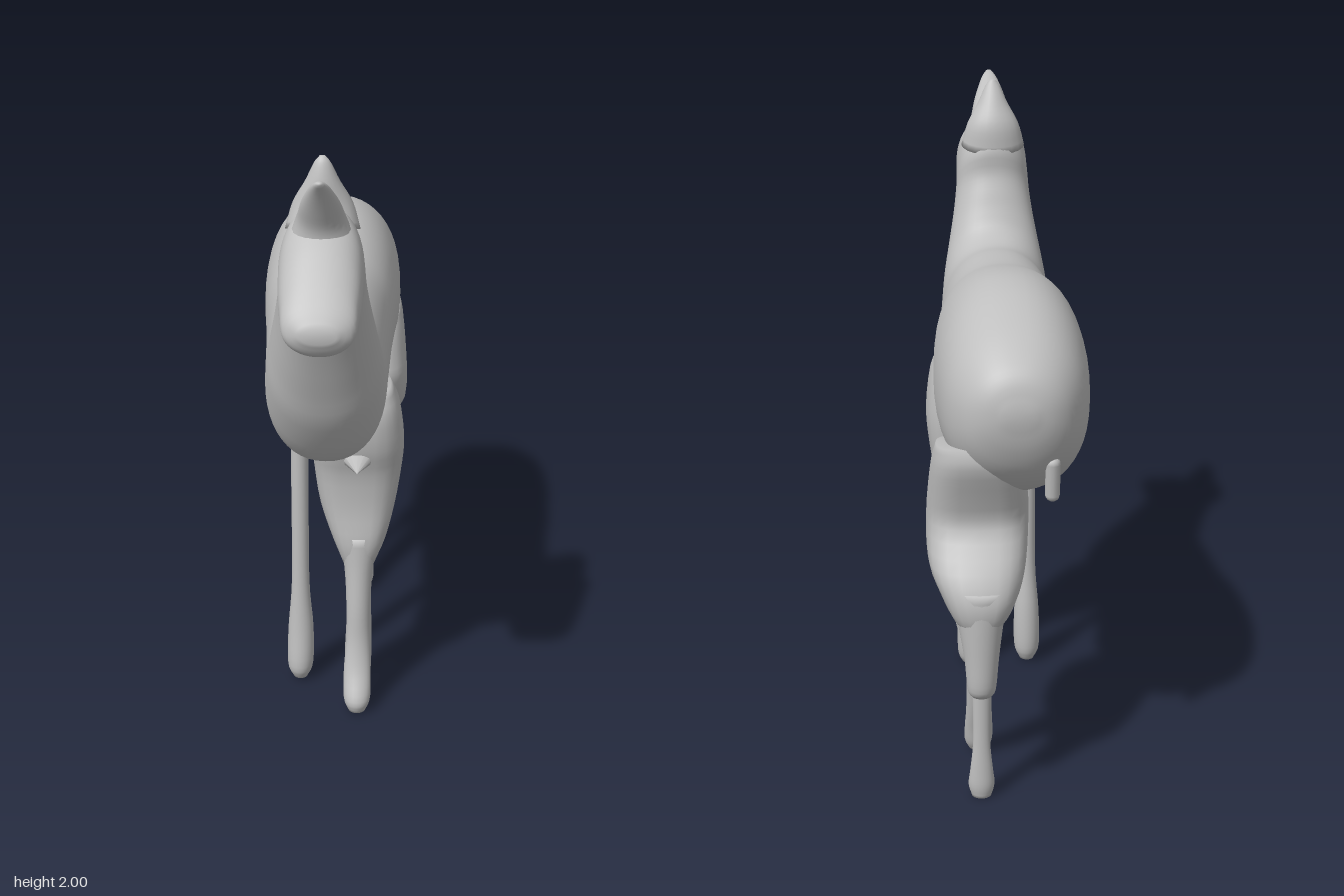
import * as THREE from 'three';

const coat = new THREE.MeshStandardMaterial({ color: 0xbfbfbf });
coat.name = 'grey coat';

// Smooth skin through sections [az, ay, bz, by, xCentre, halfWidth]:
// a and b are the two ends of each section in the side plane.
function loft(name, rows, power = 2, steps = 4, sides = 32) {
  const ends = (f) => new THREE.CatmullRomCurve3(rows.map(f), false, 'catmullrom', 0.5);
  const A = ends((r) => new THREE.Vector3(r[4], r[1], r[0]));
  const B = ends((r) => new THREE.Vector3(r[5], r[3], r[2]));
  const n = (rows.length - 1) * steps;
  const pos = [], idx = [];
  const round = (v) => Math.sign(v) * Math.abs(v) ** (2 / power);
  const mids = [];
  for (let i = 0; i <= n; i++) {
    const a = A.getPoint(i / n), b = B.getPoint(i / n);
    const my = (a.y + b.y) / 2, mz = (a.z + b.z) / 2;
    mids.push([a.x, my, mz]);
    for (let j = 0; j < sides; j++) {
      const t = (j / sides) * Math.PI * 2;
      const c = round(Math.cos(t)), s = round(Math.sin(t));
      pos.push(a.x + s * b.x, my + (c * (a.y - b.y)) / 2, mz + (c * (a.z - b.z)) / 2);
      const k = (j + 1) % sides, p = i * sides, q = p + sides;
      if (i < n) idx.push(p + j, q + j, p + k, q + j, q + k, p + k);
    }
  }
  // end caps
  const c0 = pos.length / 3;
  pos.push(...mids[0], ...mids[n]);
  for (let j = 0; j < sides; j++) {
    const k = (j + 1) % sides;
    idx.push(c0, j, k, c0 + 1, n * sides + k, n * sides + j);
  }
  const g = new THREE.BufferGeometry();
  g.setAttribute('position', new THREE.Float32BufferAttribute(pos, 3));
  g.setIndex(idx);
  g.computeVertexNormals();
  const mesh = new THREE.Mesh(g, coat);
  mesh.name = name;
  return mesh;
}

// Leg rows from top to bottom: [y, zFront, zBack, xCentre, halfWidth]
const leg = (name, rows, power, steps) =>
  loft(name, rows.map(([y, f, b, x, w]) => [f, y, b, y, x, w]), power, steps, 24);

// Small pointed tuft lying along z
function spur(name, x, y, z, length, dir) {
  const g = new THREE.ConeGeometry(0.05, length, 12);
  g.rotateX((dir * Math.PI) / 2);
  g.scale(1.1, 0.7, 1);
  const m = new THREE.Mesh(g, coat);
  m.position.set(x, y, z);
  m.name = name;
  return m;
}

export function createModel() {
  const deer = new THREE.Group();
  deer.name = 'fawn';
  const X = -0.02;

  // Rump to muzzle in one skin
  const trunk = [
    [-0.922, 1.28, -0.922, 1.23, 0.04],
    [-0.9, 1.355, -0.9, 1.14, 0.11],
    [-0.85, 1.41, -0.85, 1.05, 0.165],
    [-0.75, 1.475, -0.75, 0.97, 0.21],
    [-0.6, 1.53, -0.6, 0.93, 0.23],
    [-0.45, 1.55, -0.43, 0.905, 0.235],
    [-0.3, 1.538, -0.3, 0.95, 0.23],
    [-0.15, 1.51, -0.15, 0.985, 0.22],
    [0, 1.482, 0, 0.965, 0.207],
    [0.2, 1.473, 0.2, 0.94, 0.197],
    [0.32, 1.467, 0.37, 0.945, 0.19],
    [0.39, 1.505, 0.51, 1.11, 0.177],
    [0.425, 1.56, 0.575, 1.25, 0.16],
    [0.45, 1.62, 0.64, 1.4, 0.142],
    [0.475, 1.69, 0.69, 1.5, 0.13],
    [0.485, 1.79, 0.73, 1.512, 0.125],
    [0.61, 1.865, 0.77, 1.505, 0.123],
    [0.72, 1.81, 0.82, 1.5, 0.12],
    [0.81, 1.735, 0.87, 1.503, 0.112],
    [0.885, 1.66, 0.905, 1.52, 0.1],
    [0.925, 1.605, 0.928, 1.56, 0.05],
  ].map((r) => [...r.slice(0, 4), X, r[4]]);
  deer.add(loft('bodyNeckAndHead', trunk, 2.2, 4, 48));

  // Ears, one ahead of the other
  deer.add(loft('frontEar', [
    [0.6, 1.83, 0.73, 1.76, X, 0.09],
    [0.64, 1.885, 0.735, 1.82, X, 0.07],
    [0.71, 1.935, 0.765, 1.88, X, 0.055],
    [0.79, 1.985, 0.805, 1.945, X, 0.03],
    [0.83, 1.998, 0.838, 1.988, X, 0.01],
  ], 2, 4, 20));
  deer.add(loft('rearEar', [
    [0.475, 1.75, 0.63, 1.8, X, 0.11],
    [0.48, 1.845, 0.607, 1.86, X, 0.088],
    [0.515, 1.92, 0.6, 1.925, X, 0.05],
    [0.548, 1.975, 0.586, 1.978, X, 0.025],
    [0.562, 1.998, 0.572, 1.998, X, 0.008],
  ], 2, 4, 20));

  // Left front shoulder block with two shanks
  deer.add(leg('frontThigh', [
    [1.14, 0.28, 0.08, 0.11, 0.075],
    [1.07, 0.32, 0.045, 0.09, 0.125],
    [0.95, 0.315, 0.03, 0.08, 0.15],
    [0.85, 0.285, 0.035, 0.08, 0.145],
    [0.72, 0.275, 0.05, 0.08, 0.125],
    [0.6, 0.285, 0.07, 0.085, 0.09],
    [0.51, 0.275, 0.09, 0.085, 0.055],
  ], 2.8, 3));
  deer.add(spur('frontTuft', 0.08, 0.915, 0.34, 0.12, 1));
  deer.add(spur('frontRearTuft', 0.08, 0.915, 0.03, 0.1, -1));
  deer.add(leg('frontShank', [
    [0.62, 0.285, 0.18, 0.085, 0.07],
    [0.5, 0.29, 0.19, 0.085, 0.048],
    [0.36, 0.3, 0.22, 0.085, 0.04],
    [0.24, 0.305, 0.24, 0.085, 0.04],
    [0.14, 0.33, 0.262, 0.083, 0.045],
    [0.05, 0.375, 0.28, 0.083, 0.045],
    [0.005, 0.365, 0.295, 0.083, 0.03],
  ]));
  deer.add(leg('frontRearShank', [
    [0.62, 0.18, 0.068, 0.085, 0.07],
    [0.5, 0.175, 0.085, 0.085, 0.048],
    [0.36, 0.15, 0.085, 0.085, 0.04],
    [0.22, 0.16, 0.062, 0.085, 0.043],
    [0.1, 0.17, 0.066, 0.083, 0.046],
    [0.03, 0.18, 0.075, 0.083, 0.043],
    [0.0, 0.17, 0.09, 0.083, 0.03],
  ]));

  // Slender right front leg
  deer.add(leg('rightFrontLeg', [
    [1.1, 0.155, 0.085, -0.115, 0.03],
    [0.7, 0.15, 0.09, -0.115, 0.029],
    [0.38, 0.15, 0.09, -0.115, 0.03],
    [0.2, 0.16, 0.075, -0.115, 0.043],
    [0.06, 0.175, 0.075, -0.117, 0.044],
    [0.008, 0.155, 0.095, -0.117, 0.025],
  ]));

  // Left hind haunch with two shanks
  deer.add(loft('hindThigh', [
    [-0.55, 1.08, -0.84, 1.13, 0.13, 0.085],
    [-0.505, 1.02, -0.85, 1.07, 0.1, 0.13],
    [-0.475, 0.93, -0.81, 0.96, 0.09, 0.15],
    [-0.465, 0.86, -0.79, 0.86, 0.09, 0.155],
    [-0.51, 0.75, -0.875, 0.75, 0.095, 0.148],
    [-0.58, 0.67, -0.91, 0.67, 0.09, 0.12],
    [-0.63, 0.6, -0.905, 0.6, 0.09, 0.085],
    [-0.65, 0.56, -0.88, 0.56, 0.09, 0.05],
  ], 2.8, 3, 24));
  deer.add(spur('hindTuft', 0.09, 0.855, -0.45, 0.1, 1));
  deer.add(leg('hindFrontShank', [
    [0.68, -0.6, -0.75, 0.09, 0.085],
    [0.58, -0.625, -0.745, 0.088, 0.058],
    [0.39, -0.585, -0.7, 0.085, 0.043],
    [0.2, -0.55, -0.635, 0.085, 0.04],
    [0.1, -0.515, -0.595, 0.085, 0.044],
    [0.04, -0.485, -0.575, 0.085, 0.044],
    [0.008, -0.5, -0.555, 0.085, 0.03],
  ]));
  deer.add(leg('hindHock', [
    [0.7, -0.76, -0.91, 0.09, 0.09],
    [0.6, -0.775, -0.91, 0.09, 0.07],
    [0.48, -0.803, -0.905, 0.088, 0.052],
    [0.38, -0.81, -0.897, 0.088, 0.043],
    [0.35, -0.815, -0.87, 0.088, 0.03],
  ]));
  deer.add(leg('hindRearShank', [
    [0.4, -0.812, -0.855, 0.088, 0.028],
    [0.2, -0.815, -0.852, 0.088, 0.026],
    [0.1, -0.805, -0.853, 0.088, 0.034],
    [0.04, -0.785, -0.853, 0.088, 0.04],
    [0.0, -0.79, -0.845, 0.088, 0.03],
  ]));

  // Short tail beneath the rump
  const tail = new THREE.Mesh(new THREE.CapsuleGeometry(0.022, 0.1, 6, 12), coat);
  tail.position.set(-0.12, 1.04, -0.845);
  tail.rotation.x = -0.15;
  tail.name = 'tail';
  deer.add(tail);

  return deer;
}
